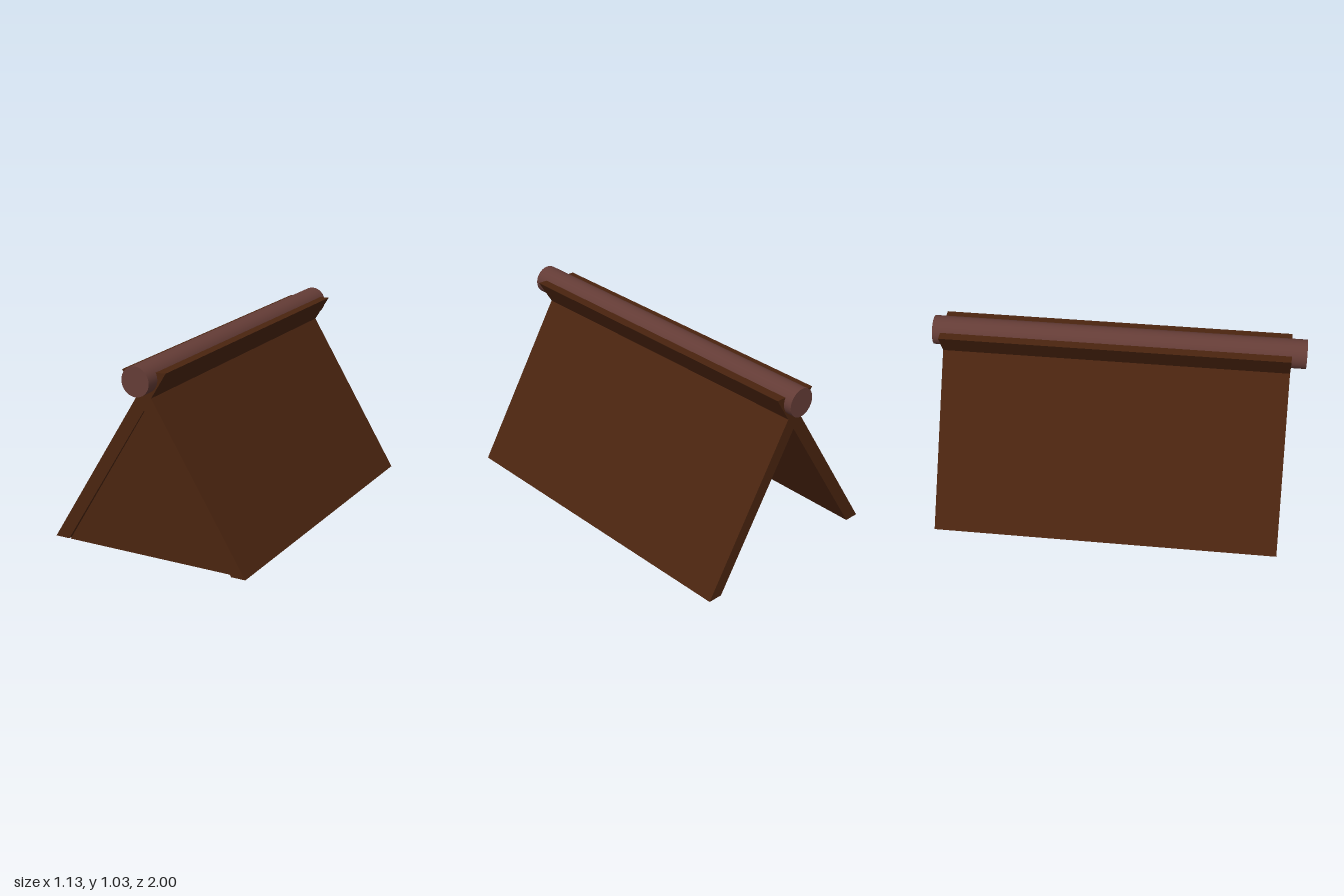
import * as THREE from 'three';

// Extrude a closed outline of [x, y] points from z0 to z1
function prism(points, z0, z1) {
  const shape = new THREE.Shape(points.map(([x, y]) => new THREE.Vector2(x, y)));
  const geometry = new THREE.ExtrudeGeometry(shape, { depth: z1 - z0, bevelEnabled: false });
  return geometry.translate(0, 0, z0);
}

export function createModel() {
  const group = new THREE.Group();
  const wood = new THREE.MeshStandardMaterial({ color: 0x4a240f });
  wood.name = 'dark brown wood';
  const beamWood = new THREE.MeshStandardMaterial({ color: 0x643c36 });
  beamWood.name = 'reddish brown wood';

  const add = (name, geometry, material) => {
    const mesh = new THREE.Mesh(geometry, material);
    mesh.name = name;
    group.add(mesh);
  };

  // Two leaning roof boards that cross below the ridge
  const back = -0.955, front = 0.92;
  add('leftRoofBoard', prism([[0.485, 0], [0.565, 0], [-0.04, 0.987], [-0.125, 0.984]], back, front), wood);
  add('rightRoofBoard', prism([[-0.565, 0.012], [-0.483, 0.012], [0.125, 0.994], [0.04, 0.991]], back, front), wood);

  // Triangular wall closing the front; the back stays open
  add('frontWall', prism([[-0.477, 0.01], [0.477, 0.01], [0, 0.787]], front - 0.075, front - 0.004), wood);

  // Round ridge beam resting in the crossing
  const beam = new THREE.CylinderGeometry(0.078, 0.078, 2, 32).rotateX(Math.PI / 2).translate(0, 0.956, 0);
  add('ridgeBeam', beam, beamWood);

  return group;
}
